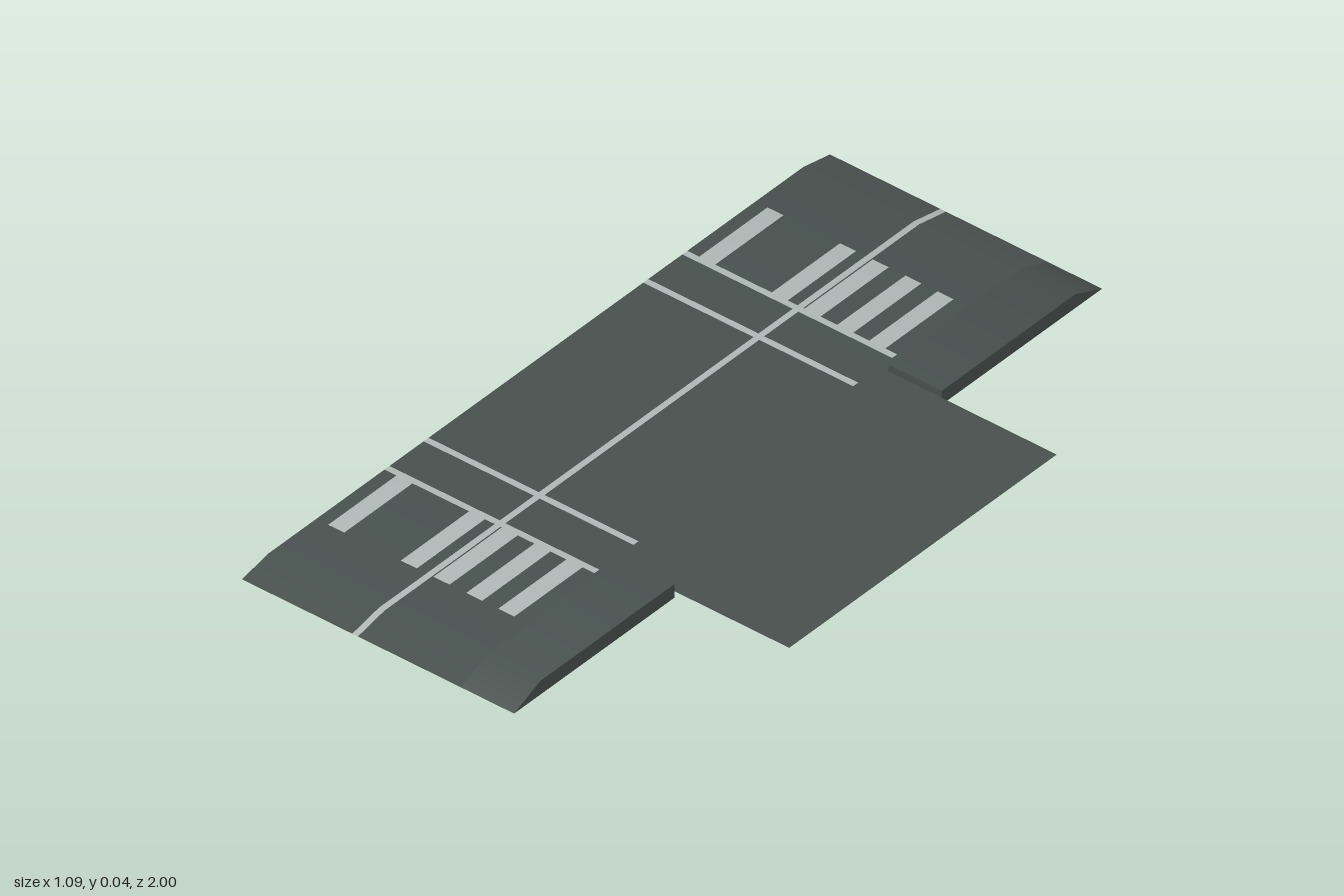
import * as THREE from 'three';

const asphalt = new THREE.MeshStandardMaterial({ name: 'asphalt', color: 0x48524f, side: THREE.DoubleSide });
const paint = new THREE.MeshStandardMaterial({ name: 'roadPaint', color: 0xb2bbb9, side: THREE.DoubleSide });

const LEFT = -0.545, KERB = 0.07, WALK = 0.22, SIDE = 0.543;
const CORNER = 0.455, BEND = 0.91, ROAD_H = 0.018, WALK_H = 0.037;

// Height along z: flat, then a ramp down to the ground at each end
const ramp = (h) => (z) => h * Math.min(1, (1 - Math.abs(z)) / (1 - BEND));
const roadY = ramp(ROAD_H), walkY = ramp(WALK_H);

// Softly rounded normals towards the ramps
function rampNormal(z, h) {
  const a = Math.abs(z), slope = h / (1 - BEND);
  const k = a < BEND ? 0.5 * Math.max(0, (a - CORNER) / (BEND - CORNER)) : 0.5 + 0.5 * (a - BEND) / (1 - BEND);
  return new THREE.Vector3(0, 1, Math.sign(z) * slope * k).normalize();
}

// Painted rectangles [x0, x1, z0, z1], mirrored to both ends
const marks = [[-0.235, -0.219, -1, 1]];
for (const s of [-1, 1]) {
  const add = (x0, x1, a, b) => marks.push([x0, x1, Math.min(s * a, s * b), Math.max(s * a, s * b)]);
  add(LEFT, 0.045, 0.365, 0.382);
  add(LEFT, 0.045, 0.498, 0.515);
  for (const x of [-0.489, -0.285, -0.193, -0.101, -0.011]) add(x - 0.0225, x + 0.0225, 0.515, 0.747);
}
const isPainted = (x, z) => marks.some(([a, b, c, d]) => x > a && x < b && z > c && z < d);
const sorted = (list) => [...new Set(list)].sort((a, b) => a - b);

// Open sheet of cells following the ramp profile, coloured cell by cell
function sheet(name, xs, zs, h) {
  const y = ramp(h), cells = [[], []];
  for (let i = 0; i + 1 < xs.length; i++) for (let j = 0; j + 1 < zs.length; j++) {
    const [x0, x1, z0, z1] = [xs[i], xs[i + 1], zs[j], zs[j + 1]];
    const corners = [[x0, z0], [x0, z1], [x1, z1], [x0, z0], [x1, z1], [x1, z0]];
    cells[isPainted((x0 + x1) / 2, (z0 + z1) / 2) ? 1 : 0].push(...corners);
  }
  const all = cells.flat();
  const g = new THREE.BufferGeometry();
  g.setAttribute('position', new THREE.Float32BufferAttribute(all.flatMap(([x, z]) => [x, y(z), z]), 3));
  g.setAttribute('normal', new THREE.Float32BufferAttribute(all.flatMap(([, z]) => rampNormal(z, h).toArray()), 3));
  g.addGroup(0, cells[0].length, 0);
  g.addGroup(cells[0].length, cells[1].length, 1);
  const mesh = new THREE.Mesh(g, [asphalt, paint]);
  mesh.name = name;
  return mesh;
}

// Upright strip at a fixed x, between two height profiles; dir is its facing side
function wall(name, x, zs, low, high, dir) {
  const pos = [];
  for (let j = 0; j + 1 < zs.length; j++) {
    const [a, b] = dir > 0 ? [zs[j + 1], zs[j]] : [zs[j], zs[j + 1]];
    pos.push(x, low(a), a, x, low(b), b, x, high(b), b, x, low(a), a, x, high(b), b, x, high(a), a);
  }
  const g = new THREE.BufferGeometry();
  g.setAttribute('position', new THREE.Float32BufferAttribute(pos, 3));
  g.computeVertexNormals();
  const mesh = new THREE.Mesh(g, asphalt);
  mesh.name = name;
  return mesh;
}

export function createModel() {
  const model = new THREE.Group();
  model.name = 'roadJunction';
  const ground = () => 0;

  // Main road with its markings, and the side road
  const xs = sorted([LEFT, KERB, ...marks.flatMap((m) => [m[0], m[1]])]);
  const zs = sorted([-1, -BEND, -CORNER, CORNER, BEND, 1, ...marks.flatMap((m) => [m[2], m[3]])]);
  model.add(sheet('mainRoad', xs, zs, ROAD_H));
  model.add(sheet('sideRoad', [KERB, SIDE], [-CORNER, CORNER], ROAD_H));
  model.add(wall('roadEdge', LEFT, [-1, -BEND, BEND, 1], ground, roadY, -1));

  // Raised pavements at both corners
  for (const s of [-1, 1]) {
    const pavement = new THREE.Group();
    pavement.name = s > 0 ? 'frontPavement' : 'backPavement';
    const span = sorted([s * CORNER, s * BEND, s]);
    pavement.add(sheet('pavementTop', [KERB, WALK], span, WALK_H));
    pavement.add(wall('kerb', KERB, span, roadY, walkY, -1));
    pavement.add(wall('pavementOuterSide', WALK, span, ground, walkY, 1));
    const end = new THREE.Mesh(new THREE.PlaneGeometry(WALK - KERB, WALK_H - ROAD_H), asphalt);
    end.name = 'kerbEnd';
    end.position.set((KERB + WALK) / 2, (WALK_H + ROAD_H) / 2, s * CORNER);
    if (s > 0) end.rotation.y = Math.PI;
    pavement.add(end);
    model.add(pavement);
  }
  return model;
}
